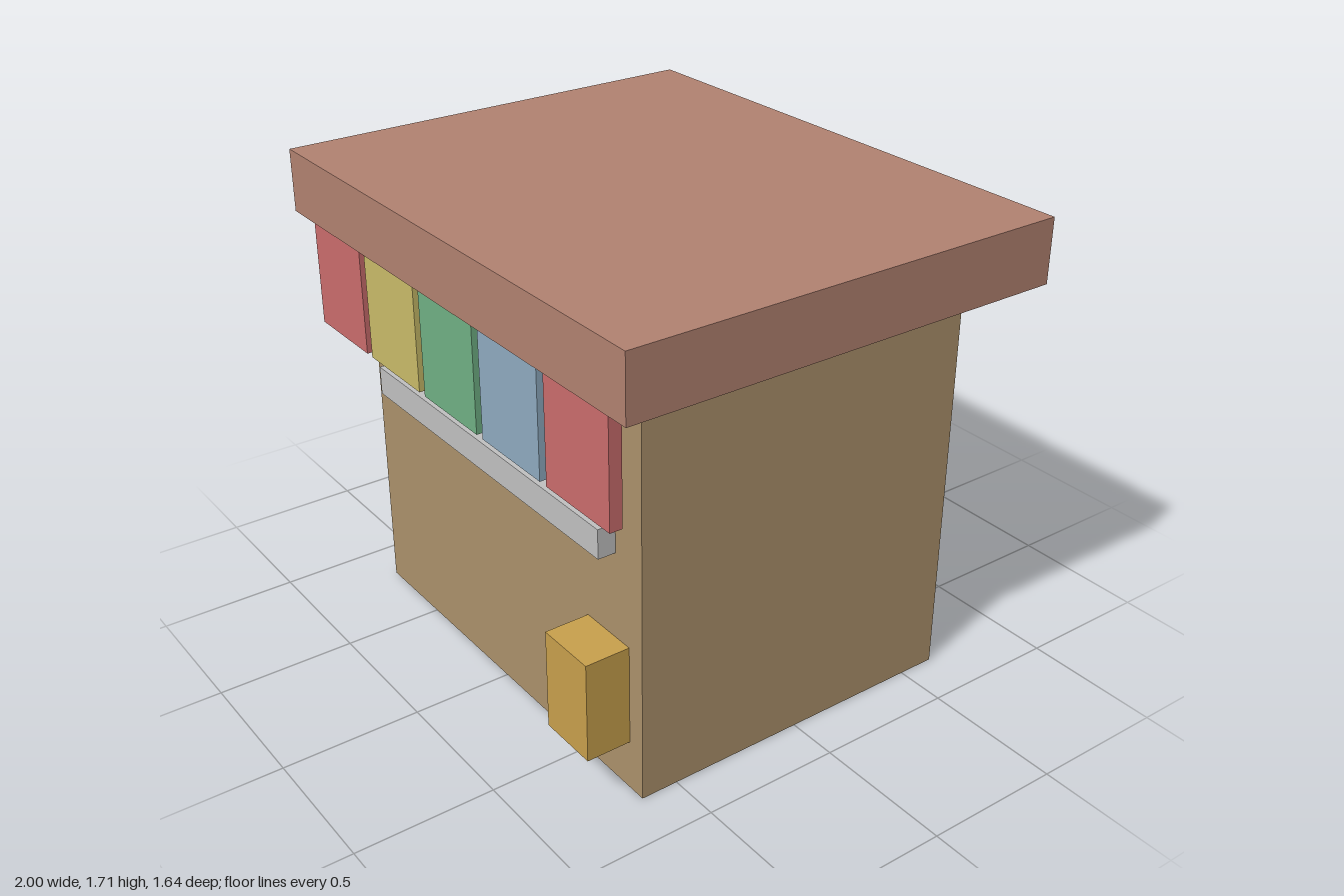
import * as THREE from 'three';

const mat = (name, color) => {
  const m = new THREE.MeshStandardMaterial({ color });
  m.name = name;
  return m;
};

export function createModel() {
  const model = new THREE.Group();
  model.name = 'marketStall';

  const wood = mat('tan wood', 0xab916b);
  const roofing = mat('clay roof', 0xb18170);
  const red = mat('red cloth', 0xc96c6c);
  const yellow = mat('yellow cloth', 0xc8ba68);
  const green = mat('green cloth', 0x70b084);
  const blue = mat('blue cloth', 0x8eaabf);
  const grey = mat('grey metal', 0xc0c0c0);
  const amber = mat('amber crate', 0xc79f4c);

  // Box given by its lower and upper corners
  const box = (name, material, [x0, y0, z0], [x1, y1, z1]) => {
    const mesh = new THREE.Mesh(new THREE.BoxGeometry(x1 - x0, y1 - y0, z1 - z0), material);
    mesh.position.set((x0 + x1) / 2, (y0 + y1) / 2, (z0 + z1) / 2);
    mesh.name = name;
    model.add(mesh);
  };

  // Main block and the overhanging roof slab, with a narrow gap between
  box('body', wood, [-0.818, 0, -0.636], [0.818, 1.455, 0.636]);
  box('roof', roofing, [-1, 1.482, -0.818], [1, 1.709, 0.818]);

  // Row of coloured banners under the front eave
  [red, yellow, green, blue, red].forEach((cloth, i) => {
    const x = (i - 2) * 0.3636;
    box(`banner${i + 1}`, cloth, [x - 0.164, 1.091, 0.755], [x + 0.164, 1.482, 0.8]);
  });

  // Serving shelf and crate on the front
  box('shelf', grey, [-0.682, 0.859, 0.636], [0.682, 0.964, 0.7]);
  box('crate', amber, [0.525, 0.184, 0.636], [0.75, 0.548, 0.798]);

  return model;
}
